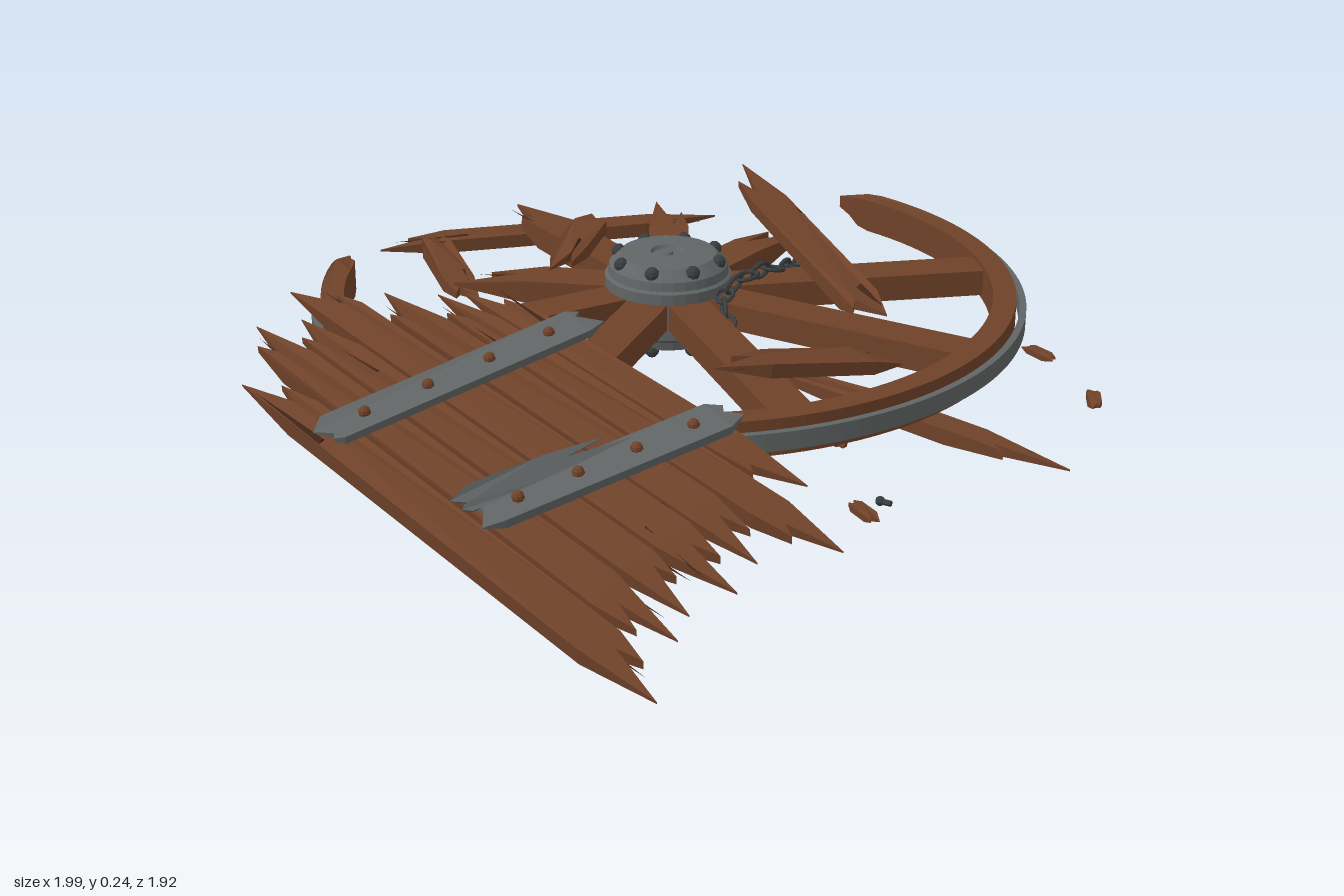
import * as THREE from 'three';

const mat = (color) => new THREE.MeshStandardMaterial({ color, flatShading: true, side: THREE.DoubleSide });
const wood = mat(0x6f4229), darkWood = mat(0x3f2417), iron = mat(0x616565), darkIron = mat(0x3a3d3f);
const V = (x, y, z) => new THREE.Vector3(x, y, z);
const HUB = V(0.205, 0.11, -0.11);

let seed = 7;
const rnd = (a = 0, b = 1) => {
  seed = (seed * 16807) % 2147483647;
  return a + (b - a) * (seed / 2147483647);
};

function add(parent, name, geometry, material, position) {
  const mesh = new THREE.Mesh(geometry, material);
  mesh.name = name;
  if (position) mesh.position.copy(position);
  parent.add(mesh);
  return mesh;
}

// Plan outline (x, z) raised into a slab that is centred on y = 0
function slab(points, thick) {
  const shape = new THREE.Shape(points.map(([x, z]) => new THREE.Vector2(x, z)));
  return new THREE.ExtrudeGeometry(shape, { depth: thick, bevelEnabled: false })
    .rotateX(Math.PI / 2).translate(0, thick / 2, 0);
}

// Scale the height of each vertex by a rule of its plan position
function thin(geo, rule) {
  const p = geo.attributes.position;
  for (let i = 0; i < p.count; i++) p.setY(i, p.getY(i) * rule(p.getX(i), p.getZ(i)));
  geo.computeVertexNormals();
  return geo;
}

// Board between two tips; jag0 and jag1 are the lengths of its splintered ends
function board(parent, name, from, to, width, thick, jag0 = 0, jag1 = 0, material = wood) {
  const L = from.distanceTo(to), h = width / 2;
  // Broken end: one long and one short tooth with a notch between them
  const end = (jag) => {
    if (!jag) return [[0, -h], [0, h]];
    const flip = rnd() < 0.5 ? -1 : 1, notch = h * rnd(0.1, 0.4);
    const pts = [[jag * rnd(0.8, 1.1), -h], [0, -h * rnd(0.3, 0.7)], [jag * rnd(0.6, 0.85), notch],
      [jag * rnd(0.3, 0.55), (notch + h) / 2], [jag * rnd(0.8, 1.1), h]];
    return flip > 0 ? pts : pts.map(([x, z]) => [x, -z]).reverse();
  };
  const start = end(jag0), finish = end(jag1).map(([x, z]) => [L - x, z]).reverse();
  const geo = thin(slab([...start, ...finish], thick), (x) =>
    0.12 + 0.88 * Math.max(0, Math.min(1, jag0 ? x / jag0 : 1, jag1 ? (L - x) / jag1 : 1)));
  const group = new THREE.Group();
  group.name = name;
  add(group, name + 'Body', geo, material);
  // A loose dark sliver at each broken end
  if (material === wood && width > 0.05) {
    [[jag0, 0], [jag1, 1]].forEach(([jag, far]) => {
      if (!jag) return;
      const len = jag * rnd(0.9, 1.3), x = jag * 0.5 + len * 0.3;
      const cone = new THREE.ConeGeometry(width * 0.1, len, 4).rotateZ(far ? -Math.PI / 2 : Math.PI / 2);
      const s = add(group, 'splinter', cone, darkWood, V(far ? L - x : x, thick * rnd(0, 0.4), rnd(-0.8, 0.8) * h));
      s.rotation.y = rnd(-0.08, 0.08);
    });
  }
  const dir = to.clone().sub(from).normalize();
  const side = dir.clone().cross(V(0, 1, 0)).normalize();
  group.quaternion.setFromRotationMatrix(
    new THREE.Matrix4().makeBasis(dir, side.clone().cross(dir), side));
  group.position.copy(from);
  parent.add(group);
  return group;
}

// Arc of a ring in plan; both ends can taper to a splinter over `taper` degrees
function arc(r0, r1, a0, a1, thick, taper) {
  const inner = [], outer = [], n = 84;
  const fade = (deg) => (taper ? Math.max(0.08, Math.min(1, Math.min(deg - a0, a1 - deg) / taper)) : 1);
  for (let i = 0; i <= n; i++) {
    const deg = a0 + ((a1 - a0) * i) / n, a = THREE.MathUtils.degToRad(deg);
    const ri = r1 - (r1 - r0) * fade(deg);
    outer.push([Math.cos(a) * r1, Math.sin(a) * r1]);
    inner.unshift([Math.cos(a) * ri, Math.sin(a) * ri]);
  }
  return thin(slab([...outer, ...inner], thick), (x, z) => {
    const deg = THREE.MathUtils.radToDeg(Math.atan2(z, x));
    return 0.3 + 0.7 * fade(deg < a0 - 1 ? deg + 360 : deg);
  });
}

function wheel(root) {
  const g = new THREE.Group();
  g.name = 'brokenWheel';
  g.position.copy(HUB);
  root.add(g);
  add(g, 'rim', arc(0.735, 0.787, -6, 245, 0.08, 7), wood);
  add(g, 'ironTyre', arc(0.795, 0.81, 15, 218, 0.04, 0), iron);

  // Nine spokes, four of them snapped short of the rim
  const broken = { 240: 0.5, 280: 0.62, 320: 0.5, 360: 0.48 };
  for (let deg = 40; deg <= 360; deg += 40) {
    const a = THREE.MathUtils.degToRad(deg), len = broken[deg] || 0.75;
    const tip = V(Math.cos(a) * len, broken[deg] ? rnd(0, 0.05) : 0, Math.sin(a) * len);
    const base = V(Math.cos(a) * 0.1, 0, Math.sin(a) * 0.1);
    board(g, 'spoke', base, tip, 0.095, 0.06, 0, broken[deg] ? 0.2 : 0);
  }

  // Hub barrel with a bolted cap at each end
  const profile = [[0, -0.095], [0.1, -0.095], [0.128, -0.085], [0.132, -0.065], [0.145, -0.055], [0.145, 0.055],
    [0.138, 0.06], [0.135, 0.08], [0.11, 0.104], [0.04, 0.108], [0.035, 0.1], [0.012, 0.1],
    [0.01, 0.106], [0, 0.106]];
  add(g, 'hub', new THREE.LatheGeometry(profile.map(([r, y]) => new THREE.Vector2(r, y)), 32), iron);
  for (let i = 0; i < 8; i++) {
    const a = ((i + 0.5) / 8) * Math.PI * 2;
    for (const y of [-0.09, 0.093]) {
      add(g, 'hubBolt', new THREE.SphereGeometry(0.017, 8, 6), darkIron,
        V(Math.cos(a) * 0.119, y, Math.sin(a) * 0.119));
    }
  }
}

function panel(root) {
  const g = new THREE.Group();
  g.name = 'plankPanel';
  // Leaning plane: x runs across the planks, z along them
  const c = Math.cos(0.18), s = Math.sin(0.18);
  const height = (x, z) => 0.155 * x - 0.085 * z;
  const u = V(c, height(c, s), s).normalize();
  const w = V(-s, height(-s, c), c);
  w.addScaledVector(u, -w.dot(u)).normalize();
  g.quaternion.setFromRotationMatrix(new THREE.Matrix4().makeBasis(u, w.clone().cross(u), w));
  g.position.set(-0.6, 0.135, 0.17);
  root.add(g);

  // across, back tip, front tip, width
  [[-0.272, -0.5, 0.78, 0.085], [-0.182, -0.67, 0.69, 0.085], [-0.093, -0.63, 0.66, 0.078],
    [0, -0.75, 0.67, 0.092], [0.095, -0.6, 0.63, 0.082], [0.185, -0.52, 0.71, 0.078],
    [0.268, -0.5, 0.52, 0.075]].forEach(([x, z0, z1, width]) => {
    board(g, 'plank', V(x - 0.01, rnd(-0.008, 0.008), z0),
      V(x + 0.01, rnd(-0.008, 0.008), z1), width, 0.035, 0.19, 0.19);
  });

  // Iron straps with rusty rivets
  [[-0.31, 0.36, -0.21, -0.185], [-0.24, 0.35, 0.21, 0.275]].forEach(([x0, x1, z0, z1]) => {
    const a = V(x0, 0.03, z0), b = V(x1, 0.03, z1);
    board(g, 'strap', a, b, 0.095, 0.018, 0.04, 0.05, iron);
    for (let i = 0; i < 4; i++) {
      const at = a.clone().lerp(b, 0.16 + i * 0.22);
      add(g, 'rivet', new THREE.SphereGeometry(0.013, 8, 6), wood, at.setY(0.04));
    }
  });
  // Edge of the front strap, bent upward
  board(g, 'bentStrapEdge', V(-0.26, 0.05, 0.17), V(0.2, 0.038, 0.215), 0.05, 0.012, 0.04, 0.25, iron).rotateX(0.7);
}

function debris(root) {
  // from, to, width, thickness, splinter lengths
  [[V(0.31, 0.155, 0.39), V(0.88, 0.175, -0.46), 0.095, 0.03, 0.1, 0.3],
    [V(0.1, 0.045, -0.97), V(0.85, 0.03, -0.485), 0.075, 0.035, 0.16, 0.2],
    [V(0.24, 0.05, -0.94), V(0.02, 0.03, -0.57), 0.075, 0.035, 0.1, 0.1],
    [V(-0.01, 0.195, -0.26), V(0.38, 0.17, -0.48), 0.08, 0.03, 0.14, 0.1],
    [V(-0.18, 0.185, 0.33), V(0.25, 0.1, 0.49), 0.085, 0.035, 0.14, 0.1],
    [V(0.12, 0.06, 0.14), V(0.165, 0.02, 0.97), 0.065, 0.035, 0.35, 0.25]].forEach((b) => board(root, 'brokenBoard', ...b));

  // Wood chips: x, z, heading
  [[0.43, -0.55, 0.5], [0.51, 0.39, 0.7], [0, 0.53, -0.6], [-0.24, 0.76, -1.2],
    [0.51, 0.83, -0.6], [0.65, 0.61, -1.3]].forEach(([x, z, a]) => {
    const dx = Math.cos(a) * 0.05, dz = Math.sin(a) * 0.05;
    board(root, 'woodChip', V(x - dx, 0.02, z - dz), V(x + dx, 0.02, z + dz), 0.03, 0.014, 0.025, 0.025);
  });

  // Nails: x, z, heading
  [[-0.11, -0.32, 1.2], [-0.12, 0.15, 0.4], [0.69, 0.04, 0.8], [0.55, 0.34, 0.1], [-0.18, 0.77, 1.4]].forEach(([x, z, a]) => {
    const nail = new THREE.Group();
    nail.name = 'nail';
    add(nail, 'nailShank', new THREE.CylinderGeometry(0.006, 0.006, 0.024, 6).rotateZ(Math.PI / 2), darkIron);
    add(nail, 'nailHead', new THREE.SphereGeometry(0.01, 8, 6), darkIron, V(-0.012, 0, 0));
    nail.position.set(x, 0.02, z);
    nail.rotation.y = -a;
    root.add(nail);
  });

  // Chain: alternating long links along a drooping curve
  const path = new THREE.CatmullRomCurve3([V(0.12, 0.13, 0.13), V(0.2, 0.155, 0.06), V(0.33, 0.165, 0.04),
    V(0.45, 0.14, 0.03), V(0.56, 0.11, -0.01)]);
  const chain = new THREE.Group();
  chain.name = 'chain';
  for (let i = 0; i < 10; i++) {
    const t = i / 9;
    const link = add(chain, 'chainLink', new THREE.TorusGeometry(0.019, 0.005, 6, 12).scale(1.6, 1, 1), darkIron, path.getPointAt(t));
    link.quaternion.setFromUnitVectors(V(1, 0, 0), path.getTangentAt(t));
    link.rotateX(i % 2 ? 0.2 : Math.PI / 2);
  }
  root.add(chain);
}

export function createModel() {
  seed = 7;
  const root = new THREE.Group();
  root.name = 'brokenCartWreck';
  wheel(root);
  panel(root);
  debris(root);
  return root;
}
